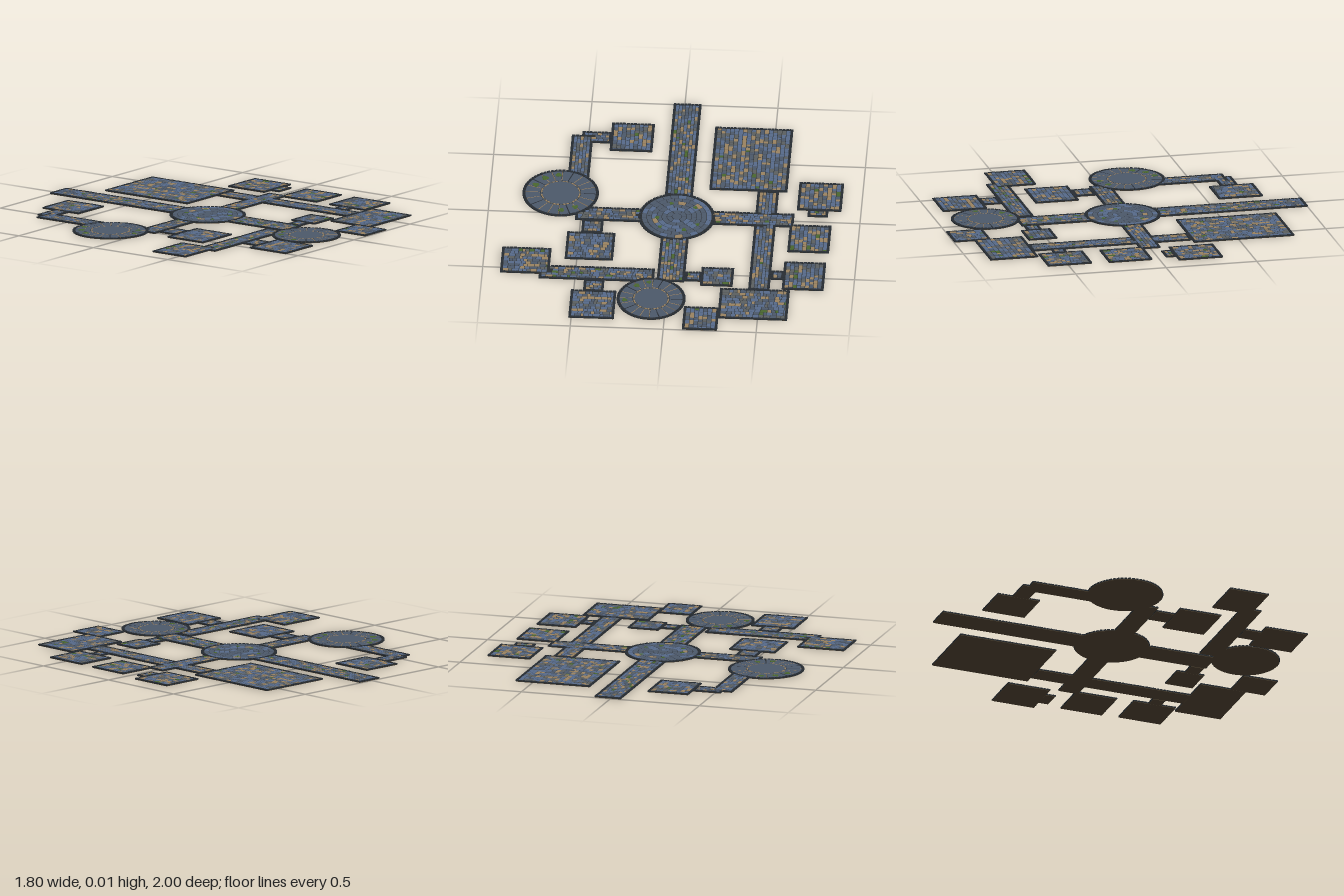
import * as THREE from 'three';
import { mergeGeometries } from 'three/addons/utils/BufferGeometryUtils.js';

const COLORS = {
  earth: 0x4d4130, grout: 0x2b2f31, edging: 0x272d33, slate: 0x4c586a,
  blueStone: 0x566a8a, greyStone: 0x5b5f60, tanStone: 0x9a8260, moss: 0x49662f,
};
const BASE = 0.003, GROUT = 0.006, TOP = 0.009;

// Round plazas: x, z, radius
const PLAZAS = [
  [0.015, 0.005, 0.205], [-0.62, -0.17, 0.205], [-0.08, 0.74, 0.185],
];
// Rooms and passages: x0, x1, z0, z1
const FLOORS = [
  [0.175, 0.595, -0.805, -0.25], [0.655, 0.895, -0.34, -0.095],
  [0.625, 0.85, 0.04, 0.28], [0.615, 0.84, 0.37, 0.615],
  [0.285, 0.66, 0.625, 0.89], [0.10, 0.29, 0.80, 1.0],
  [0.175, 0.35, 0.445, 0.605], [-0.38, -0.15, -0.81, -0.565],
  [-0.565, -0.305, 0.17, 0.41], [-0.905, -0.64, 0.325, 0.55],
  [-0.515, -0.27, 0.685, 0.93],
  [-0.06, 0.09, -1.0, 0.58], [-0.53, 0.645, -0.055, 0.06],
  [0.435, 0.55, -0.25, 0.63], [0.715, 0.825, -0.10, -0.04],
  [0.55, 0.62, 0.455, 0.53], [0.09, 0.18, 0.49, 0.57],
  [-0.59, -0.475, -0.69, -0.30], [-0.535, -0.375, -0.725, -0.63],
  [-0.49, -0.375, 0.06, 0.17], [-0.695, -0.075, 0.475, 0.59],
  [-0.45, -0.34, 0.59, 0.69],
];
// Moss patches: x, z, radius
const MOSS = [
  [-0.757, -0.233, 0.02], [-0.71, -0.296, 0.021], [-0.64, -0.328, 0.018],
  [-0.608, -0.016, 0.018], [-0.535, -0.048, 0.018], [-0.164, 0.63, 0.018],
  [-0.10, 0.598, 0.015], [-0.222, 0.762, 0.016], [-0.09, 0.02, 0.014],
  [0.11, -0.08, 0.013], [0.06, 0.12, 0.014], [-0.02, -0.11, 0.012],
  [0.13, 0.07, 0.012], [-0.07, 0.1, 0.012],
];

let seed = 7;
const rand = () => {
  seed = (seed * 16807) % 2147483647;
  return seed / 2147483647;
};

const inPlaza = (p, x, z, m) => Math.hypot(x - p[0], z - p[1]) < p[2] - m;
const inFloor = (f, x, z, m) => x > f[0] + m && x < f[1] - m && z > f[2] + m && z < f[3] - m;

export function createModel() {
  seed = 7;
  const root = new THREE.Group();
  root.name = 'pavedCourtyards';

  // Geometries are collected by colour within each area
  const parts = new Map();
  const put = (name, color, geo) => {
    const key = name + '|' + color;
    if (!parts.has(key)) parts.set(key, []);
    parts.get(key).push(geo.index ? geo.toNonIndexed() : geo);
  };
  const block = (name, color, x, z, w, d, y0, y1, turn = 0) =>
    put(name, color, new THREE.BoxGeometry(w, y1 - y0, d).rotateY(turn).translate(x, (y0 + y1) / 2, z));
  const disc = (name, color, x, z, r, y0, y1, sides = 48) =>
    put(name, color, new THREE.CylinderGeometry(r, r, y1 - y0, sides).translate(x, (y0 + y1) / 2, z));
  const wedge = (name, color, x, z, r0, r1, a0, a1, y1) => {
    const s = new THREE.Shape();
    s.absarc(0, 0, r1, a0, a1, false);
    s.absarc(0, 0, r0, a1, a0, true);
    const g = new THREE.ExtrudeGeometry(s, { depth: y1 - GROUT, bevelEnabled: false, curveSegments: 3 });
    put(name, color, g.rotateX(-Math.PI / 2).translate(x, GROUT, z));
  };
  const stoneColor = () => {
    const r = rand();
    return r < 0.42 ? 'blueStone' : r < 0.62 ? 'slate' : r < 0.78 ? 'greyStone' : r < 0.97 ? 'tanStone' : 'moss';
  };

  // Dark edging stone, left out where two areas join
  const edging = (name, self, x, z, w, d, turn) => {
    const joined = PLAZAS.some(p => p !== self && inPlaza(p, x, z, 0.006))
      || FLOORS.some(f => f !== self && inFloor(f, x, z, 0.004));
    if (!joined) block(name, 'edging', x, z, w, d, BASE, TOP + rand() * 0.001, turn);
  };

  // Rectangular floors: courses of stones run along the longer side
  FLOORS.forEach((f, i) => {
    const name = i < 11 ? 'room' : 'passage';
    const [x0, x1, z0, z1] = f;
    const w = x1 - x0, d = z1 - z0, cx = (x0 + x1) / 2, cz = (z0 + z1) / 2;
    block(name, 'earth', cx, cz, w - 0.006, d - 0.006, 0, BASE);
    block(name, 'grout', cx, cz, w - 0.008, d - 0.008, BASE, GROUT);

    const alongX = w >= d, m = 0.013;
    const long = Math.max(w, d) - 2 * m, wide = Math.min(w, d) - 2 * m;
    const rows = Math.round(wide / (i < 11 ? 0.023 : 0.019)), step = wide / rows;
    for (let r = 0; r < rows; r++) {
      const v = -wide / 2 + (r + 0.5) * step;
      for (let u = 0; u < long - 0.004;) {
        const len = Math.min(0.014 + rand() * 0.026, long - u);
        const mid = u + len / 2 - long / 2;
        const x = cx + (alongX ? mid : v), z = cz + (alongX ? v : mid);
        u += len;
        if (PLAZAS.some(p => inPlaza(p, x, z, 0)) || FLOORS.slice(0, i).some(g => inFloor(g, x, z, 0))) continue;
        const a = Math.max(len - 0.003, 0.003), b = step - 0.003;
        block(name, stoneColor(), x, z, alongX ? a : b, alongX ? b : a, GROUT, TOP - rand() * 0.0015);
      }
    }

    const size = 0.012;
    const nx = Math.round(w / 0.02), nz = Math.round(d / 0.02);
    for (const side of [-1, 1]) {
      for (let k = 0; k < nx; k++)
        edging(name, f, x0 + (k + 0.5) * w / nx, cz + side * (d - size) / 2, w / nx - 0.003, size, 0);
      for (let k = 0; k < nz; k++)
        edging(name, f, cx + side * (w - size) / 2, z0 + (k + 0.5) * d / nz, size, d / nz - 0.003, 0);
    }
  });

  // Round plazas
  PLAZAS.forEach((p, i) => {
    const name = i === 0 ? 'centralPlaza' : 'roundPlaza';
    const [x, z, r] = p;
    disc(name, 'earth', x, z, r - 0.004, 0, BASE, 64);
    disc(name, 'grout', x, z, r - 0.005, BASE, GROUT, 64);

    // Toothed rim
    const teeth = Math.round(r * 300);
    for (let k = 0; k < teeth; k++) {
      const a = k / teeth * Math.PI * 2;
      block(name, 'edging', x + Math.cos(a) * (r - 0.007), z - Math.sin(a) * (r - 0.007),
        0.014, 0.015, BASE, TOP + rand() * 0.001, a);
    }

    if (i === 0) {
      // Concentric rings of slate cobbles with a few tan ones
      disc(name, 'slate', x, z, 0.025, GROUT, TOP, 16);
      const rings = 6, inner = 0.028, step = (r - 0.015 - inner) / rings;
      for (let q = 0; q < rings; q++) {
        const r0 = inner + q * step, count = Math.round((r0 + step / 2) * Math.PI * 2 / 0.042);
        for (let k = 0; k < count; k++) {
          const a = (k + (q % 2) / 2) / count * Math.PI * 2, gap = 0.0015 / r0;
          wedge(name, rand() < 0.06 ? 'tanStone' : rand() < 0.25 ? 'blueStone' : 'slate', x, z,
            r0, r0 + step - 0.003, a + gap, a + Math.PI * 2 / count - gap, TOP - rand() * 0.001);
        }
      }
    } else {
      // Smooth middle, tan ring, then broad slabs parted by tan joints
      const mid = r * 0.48;
      disc(name, 'slate', x, z, mid, GROUT, TOP);
      for (let k = 0; k < 36; k++) {
        const a = k / 36 * Math.PI * 2;
        wedge(name, k % 3 ? 'tanStone' : 'greyStone', x, z, mid + 0.001, mid + 0.008, a + 0.02, a + 0.15, TOP);
      }
      const slabs = 20, turn = Math.PI * 2 / slabs;
      for (let k = 0; k < slabs; k++) {
        const a = k * turn;
        wedge(name, 'slate', x, z, mid + 0.011, r - 0.016, a + 0.02, a + turn - 0.02, TOP - rand() * 0.0008);
        const rm = (mid + r) / 2 - 0.002;
        block(name, k % 4 ? 'tanStone' : 'edging', x + Math.cos(a) * rm, z - Math.sin(a) * rm,
          r - mid - 0.03, 0.003, GROUT, TOP - 0.0005, a);
      }
    }
  });

  // Moss tufts on the plazas
  for (const [x, z, r] of MOSS)
    for (let k = 0; k < 3; k++) {
      const a = k * 2.1 + x * 9;
      disc('mossPatch', 'moss', x + Math.cos(a) * r * 0.4, z + Math.sin(a) * r * 0.4, r * 0.6, GROUT, TOP + 0.0004 + k * 0.0002, 8);
    }

  const materials = {};
  for (const [key, list] of parts) {
    const [area, color] = key.split('|');
    materials[color] ??= new THREE.MeshStandardMaterial({ color: COLORS[color] });
    const mesh = new THREE.Mesh(mergeGeometries(list), materials[color]);
    mesh.name = area === 'mossPatch' ? area : area + color[0].toUpperCase() + color.slice(1);
    root.add(mesh);
  }
  return root;
}
